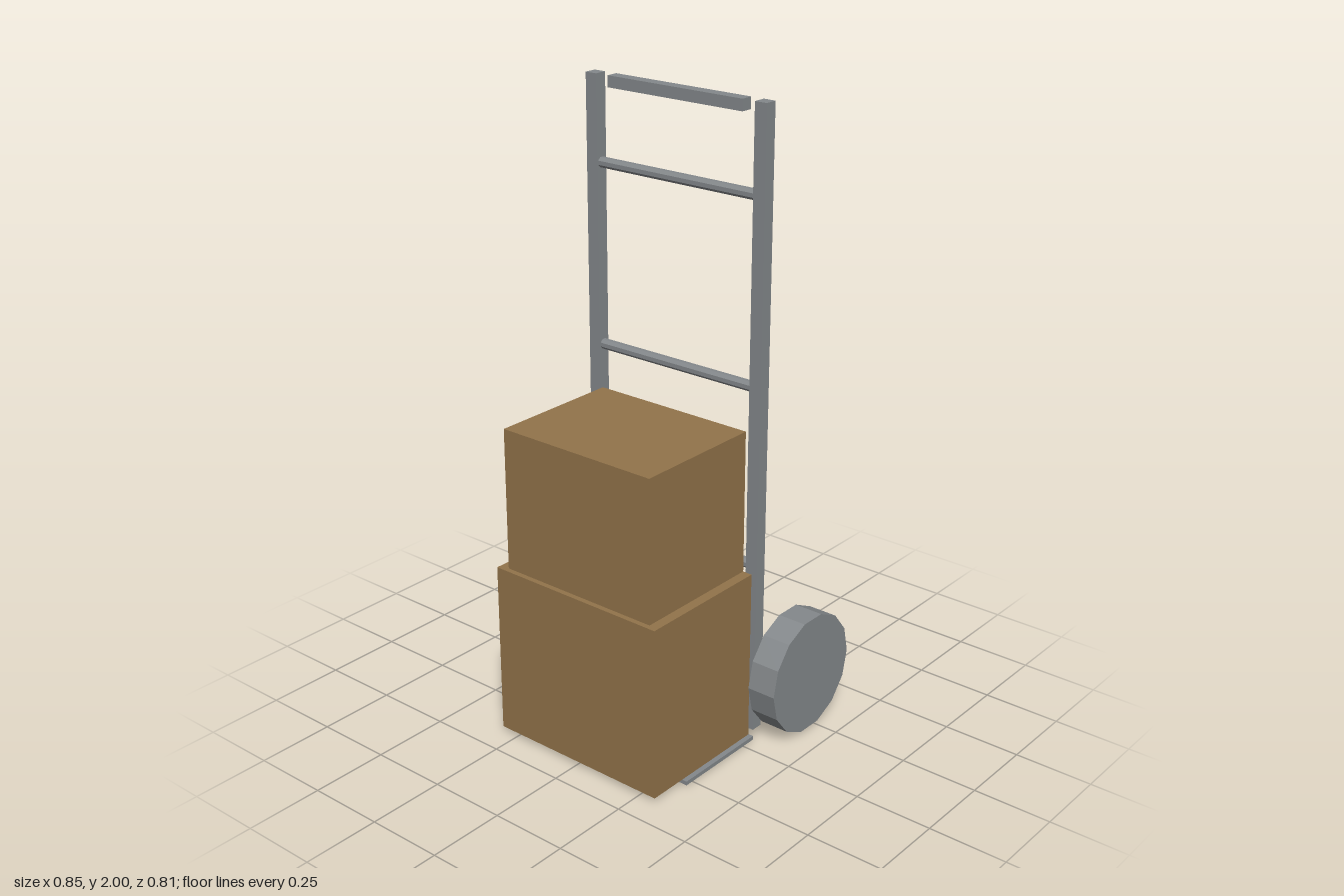
import * as THREE from 'three';

export function createModel() {
  const model = new THREE.Group();
  model.name = 'handTruck';

  const steel = new THREE.MeshStandardMaterial({ color: 0x84888b });
  steel.name = 'greySteel';
  const cardboard = new THREE.MeshStandardMaterial({ color: 0x92734a });
  cardboard.name = 'brownCardboard';

  function add(name, geometry, material) {
    const mesh = new THREE.Mesh(geometry, material);
    mesh.name = name;
    model.add(mesh);
  }

  // Box given by its lower and upper corners
  function box(name, material, [x0, y0, z0], [x1, y1, z1]) {
    const g = new THREE.BoxGeometry(x1 - x0, y1 - y0, z1 - z0);
    g.translate((x0 + x1) / 2, (y0 + y1) / 2, (z0 + z1) / 2);
    add(name, g, material);
  }

  // Faceted cylinder lying along x
  function roller(name, radius, length, sides, x, y, z, turn = 0) {
    const g = new THREE.CylinderGeometry(radius, radius, length, sides, 1, false, turn).toNonIndexed();
    g.rotateZ(Math.PI / 2);
    g.translate(x, y, z);
    g.computeVertexNormals();
    add(name, g, steel);
  }

  // Uprights and wheels, mirrored
  for (const [side, s] of [['left', 1], ['right', -1]]) {
    const x = s * 0.308;
    box(side + 'Rail', steel, [x - 0.02, 0.038, -0.086], [x + 0.02, 2, -0.046]);
    roller(side + 'Wheel', 0.195, 0.096, 14, s * 0.376, 0.2, -0.213);
  }
  roller('axle', 0.018, 0.656, 8, 0, 0.2, -0.215, 0.2);

  // Cross rungs and top handle
  for (let i = 0; i < 4; i++) {
    roller('rung' + (i + 1), 0.0165, 0.58, 8, 0, 0.025 + i * 0.57, -0.066, Math.PI / 8);
  }
  box('handle', steel, [-0.245, 1.965, -0.086], [0.245, 2, -0.048]);

  // Toe plate
  box('toePlate', steel, [-0.326, 0, -0.05], [0.326, 0.013, 0.278]);

  // Stacked cartons
  box('lowerCarton', cardboard, [-0.31, 0.014, -0.047], [0.31, 0.572, 0.407]);
  box('upperCarton', cardboard, [-0.278, 0.572, -0.047], [0.278, 1.028, 0.39]);

  return model;
}
